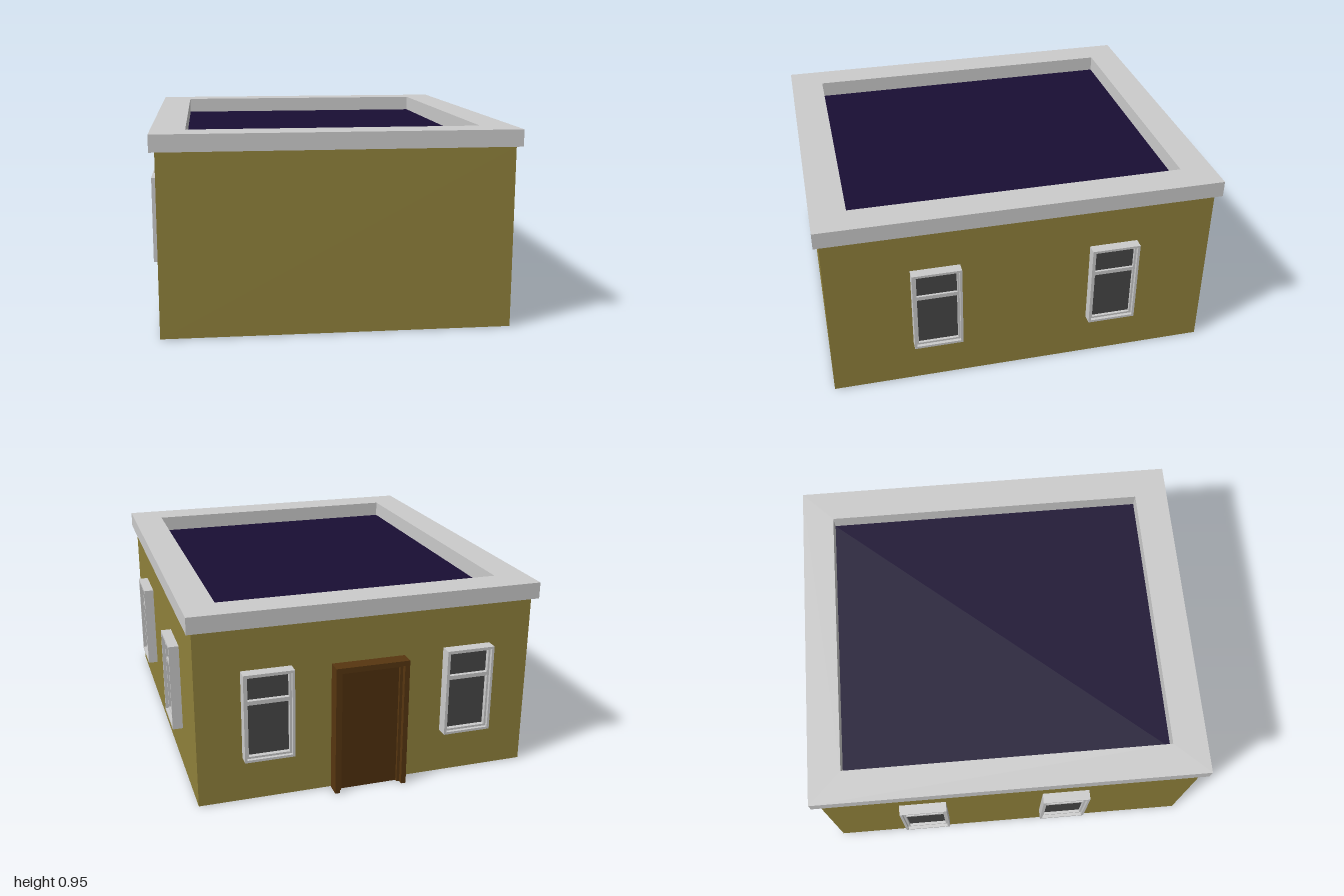
import * as THREE from 'three';

const mat = (color) => new THREE.MeshStandardMaterial({ color, flatShading: true, side: THREE.DoubleSide });
const stone = mat(0xcccccc), wallPaint = mat(0x90813b), roofing = mat(0x190e33), glass = mat(0x474747), wood = mat(0x573610), panelWood = mat(0x4f300e);

function add(parent, name, geometry, material, x = 0, y = 0, z = 0) {
  const m = new THREE.Mesh(geometry, material);
  m.name = name;
  m.position.set(x, y, z);
  parent.add(m);
  return m;
}

// Joins rectangular loops [halfWidth, zBack, zFront, y] with flat quads
function shell(loops) {
  const corners = loops.map(([h, b, f, y]) => [[-h, y, f], [h, y, f], [h, y, b], [-h, y, b]]);
  const pos = [];
  for (let i = 0; i + 1 < corners.length; i++) {
    for (let k = 0; k < 4; k++) {
      const n = (k + 1) % 4;
      const a = corners[i][k], b = corners[i][n], c = corners[i + 1][n], d = corners[i + 1][k];
      pos.push(...a, ...b, ...c, ...a, ...c, ...d);
    }
  }
  const g = new THREE.BufferGeometry();
  g.setAttribute('position', new THREE.Float32BufferAttribute(pos, 3));
  g.computeVertexNormals();
  return g;
}

// Rectangular frame standing on y = 0; the border at the foot may be zero (open door frame)
function frame(w, h, border, depth, foot = border) {
  const s = new THREE.Shape();
  const o = w / 2, i = o - border, t = h - border;
  if (foot > 0) {
    s.moveTo(-o, 0).lineTo(o, 0).lineTo(o, h).lineTo(-o, h).closePath();
    const hole = new THREE.Path();
    hole.moveTo(-i, foot).lineTo(-i, t).lineTo(i, t).lineTo(i, foot).closePath();
    s.holes.push(hole);
  } else {
    s.moveTo(-o, 0).lineTo(-i, 0).lineTo(-i, t).lineTo(i, t).lineTo(i, 0);
    s.lineTo(o, 0).lineTo(o, h).lineTo(-o, h).closePath();
  }
  return new THREE.ExtrudeGeometry(s, { depth, bevelEnabled: false });
}

// Window facing +z with its back on z = 0
function makeWindow(depth) {
  const g = new THREE.Group();
  g.name = 'window';
  add(g, 'windowFrame', frame(0.24, 0.435, 0.012, depth), stone);
  add(g, 'windowSash', frame(0.216, 0.411, 0.01, depth - 0.016), stone, 0, 0.012);
  add(g, 'windowBar', new THREE.BoxGeometry(0.196, 0.02, depth - 0.018), stone, 0, 0.29, (depth - 0.018) / 2);
  add(g, 'windowPane', new THREE.PlaneGeometry(0.196, 0.391), glass, 0, 0.2175, 0.02);
  return g;
}

// Door facing +z with its back on z = 0
function makeDoor() {
  const g = new THREE.Group();
  g.name = 'door';
  add(g, 'doorFrame', frame(0.36, 0.645, 0.024, 0.07, 0), wood);
  add(g, 'doorStop', frame(0.312, 0.621, 0.014, 0.045, 0), wood);
  add(g, 'doorPanel', new THREE.BoxGeometry(0.284, 0.607, 0.03), panelWood, 0, 0.3035, 0.015);
  return g;
}

export function createModel() {
  const model = new THREE.Group();
  model.name = 'house';

  // Open-bottomed walls
  add(model, 'walls', shell([[0.825, -0.93, 0.975, 0.003], [0.825, -0.93, 0.975, 0.87]]), wallPaint);

  // Hollow cornice: overhang, outer band, top, inner band
  add(model, 'cornice', shell([
    [0.825, -0.93, 0.975, 0.87], [0.85, -0.96, 1, 0.87], [0.85, -0.96, 1, 0.95],
    [0.69, -0.8, 0.83, 0.95], [0.69, -0.8, 0.83, 0.87],
  ]), stone);

  // Sunken flat roof
  const roof = add(model, 'roof', new THREE.PlaneGeometry(1.38, 1.63), roofing, 0, 0.87, 0.015);
  roof.rotation.x = -Math.PI / 2;

  // Windows: [x, z, turn, depth]
  const q = Math.PI / 2;
  const places = [
    [0.825, 0.452, q, 0.05], [0.825, -0.43, q, 0.05],
    [-0.825, 0.308, -q, 0.05], [-0.825, -0.43, -q, 0.05],
    [0.492, -0.93, Math.PI, 0.058], [-0.497, -0.93, Math.PI, 0.058],
  ];
  for (const [x, z, turn, depth] of places) {
    const w = makeWindow(depth);
    w.position.set(x, 0.225, z);
    w.rotation.y = turn;
    model.add(w);
  }

  // Door in the back wall
  const door = makeDoor();
  door.position.z = -0.93;
  door.rotation.y = Math.PI;
  model.add(door);
  return model;
}
